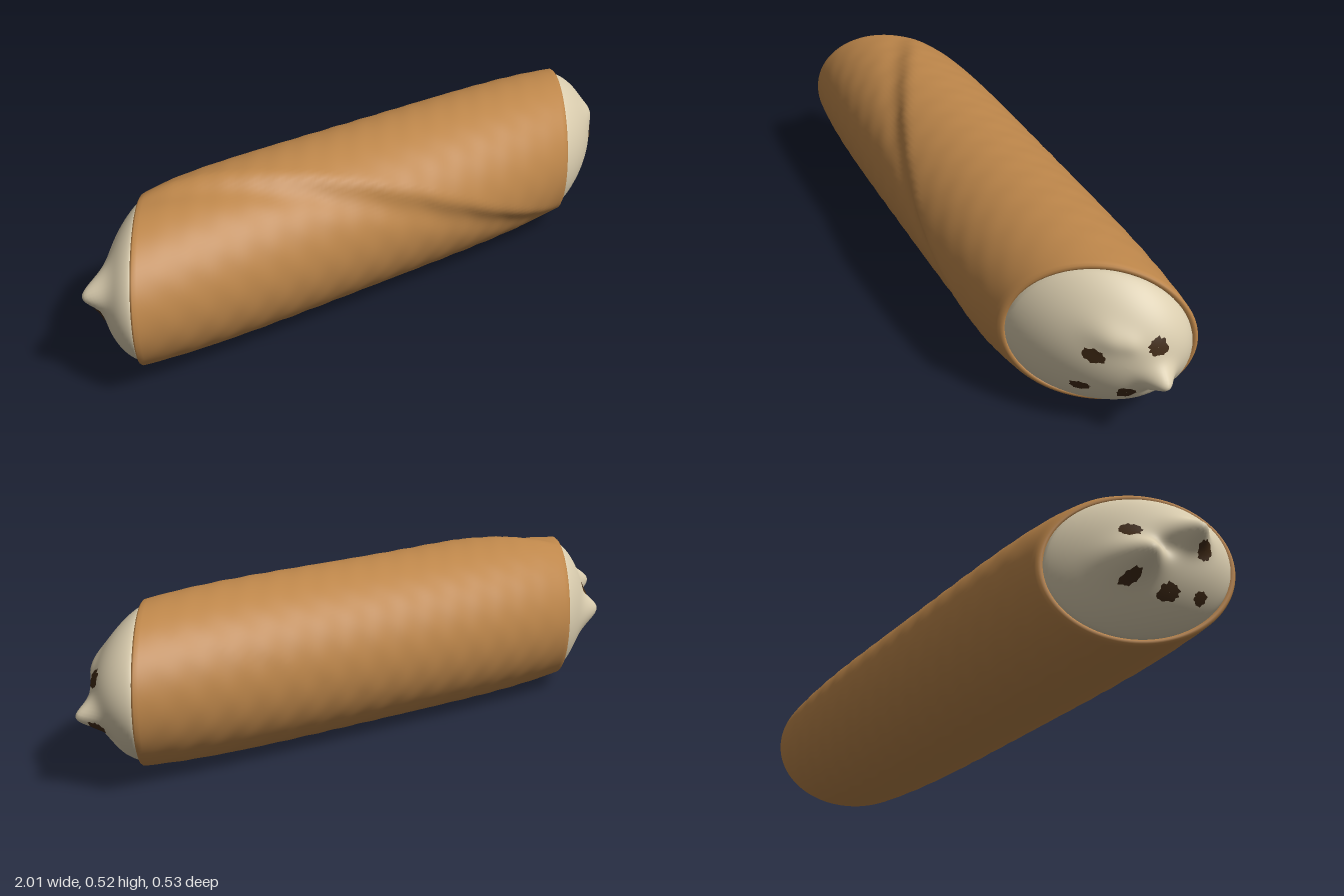
import * as THREE from 'three';

const CENTER_Y = 0.257;

// Smooth surface from closed loops ordered from -x to +x; point(i, angle) returns [x, y, z]
function loopSurface(rows, segs, point) {
  const pos = [], index = [];
  for (let i = 0; i < rows; i++) {
    for (let j = 0; j < segs; j++) {
      pos.push(...point(i, (j / segs) * Math.PI * 2, j));
      if (i === rows - 1) continue;
      const k = (j + 1) % segs;
      const a = i * segs + j, b = i * segs + k, c = a + segs, d = b + segs;
      index.push(a, b, c, b, d, c);
    }
  }
  const geo = new THREE.BufferGeometry();
  geo.setAttribute('position', new THREE.Float32BufferAttribute(pos, 3));
  geo.setIndex(index);
  geo.computeVertexNormals();
  return geo;
}

// Slanted cut of the tube ends (side is +1 or -1)
const endX = (side, z) => (side > 0 ? 0.765 : -0.8) - 0.61 * z;

// Rolled wrapper: gentle barrel with a spiral overlapping flap
function shellRadius(t, angle) {
  const s = 2 * t - 1;
  const x = -0.8 + 1.565 * t - 0.15 * Math.sin(angle);
  const edge = 1.0 + 1.8 * x;
  const d = Math.atan2(Math.sin(angle - edge), Math.cos(angle - edge));
  const flap = d < 0 ? 0.019 * Math.exp(d / 0.8) : 0.019 * Math.exp(-((d / 0.15) ** 2));
  const groove = -0.004 * Math.exp(-(((d - 0.3) / 0.15) ** 2));
  const ripple = 0.001 * Math.sin(x * 62 + Math.sin(angle * 3)) * Math.sin(angle * 9 + x * 5);
  const fade = 1 - s ** 8;
  return 0.232 + 0.022 * (1 - s ** 4) + (flap + groove + ripple) * fade;
}

function shellGeometry() {
  // lip: [inset along x, radius], from inside to outside
  const lip = [[0.05, 0.2], [0.012, 0.212], [0.003, 0.216], [0, 0.222], [0.002, 0.228]];
  const body = 110, n = lip.length;
  const rows = body + 1 + 2 * n;
  return loopSurface(rows, 112, (i, angle) => {
    let r, inset = 0, t;
    if (i < n) { t = 0; [inset, r] = lip[i]; }
    else if (i >= rows - n) { t = 1; [inset, r] = lip[rows - 1 - i]; inset = -inset; }
    else {
      t = 0.005 + 0.99 * (i - n) / body;
      r = shellRadius(t, angle);
    }
    const z = r * Math.sin(angle);
    const x = THREE.MathUtils.lerp(endX(-1, z), endX(1, z), t) + inset;
    return [x, CENTER_Y + r * Math.cos(angle), z];
  });
}

// Cream ends: dome height, piped peaks [z, y, height, width] and chips [z, y, radius]
const ENDS = [
  {
    side: 1, name: 'left', dome: 0.155,
    peaks: [[-0.08, 0.22, 0.055, 0.038], [0.04, 0.34, 0.016, 0.04], [-0.01, 0.33, 0.008, 0.03], [-0.1, 0.15, -0.015, 0.04]],
    chips: [[0.07, 0.282, 0.024], [-0.078, 0.32, 0.027], [0.085, 0.157, 0.02], [-0.015, 0.157, 0.026], [-0.118, 0.193, 0.019]],
  },
  {
    side: -1, name: 'right', dome: 0.118,
    peaks: [[0.06, 0.31, 0.062, 0.045], [-0.07, 0.235, 0.07, 0.05], [0.0, 0.27, -0.015, 0.03]],
    chips: [[-0.07, 0.32, 0.024], [0.09, 0.255, 0.026], [-0.08, 0.175, 0.02], [0.015, 0.14, 0.026], [0.1, 0.135, 0.019]],
  },
];
const CREAM_R = 0.216;

function creamX(end, y, z, lift = 0) {
  const q = Math.max(0, 1 - (z * z + (y - CENTER_Y) ** 2) / CREAM_R ** 2);
  let h = end.dome * q ** 0.8 + lift;
  for (const [pz, py, ph, w] of end.peaks) {
    h += ph * Math.exp(-((z - pz) ** 2 + (y - py) ** 2) / (w * w)) * Math.min(1, q * 2);
  }
  return endX(end.side, z) + end.side * h;
}

function creamGeometry(end) {
  const rows = 34;
  return loopSurface(rows, 72, (i, angle) => {
    const k = end.side > 0 ? i : rows - 1 - i;            // k = 0 is the hidden skirt
    const rho = k === 0 ? 1 : Math.max(0.002, 1 - ((k - 1) / (rows - 2)) ** 1.2);
    const y = CENTER_Y + CREAM_R * rho * Math.cos(angle);
    const z = CREAM_R * rho * Math.sin(angle);
    return [creamX(end, y, z, k === 0 ? -0.03 : 0), y, z];
  });
}

// Ragged thin chip lying on the cream
function chipGeometry(end, [cz, cy, r], seed) {
  const rows = 6;
  return loopSurface(rows, 26, (i, angle, j) => {
    const k = end.side > 0 ? i : rows - 1 - i;
    const noise = Math.abs(Math.sin((j + 1) * 12.9898 + seed * 78.233) * 43758.5453) % 1;
    const rho = r * Math.max(0.01, 1 - k / (rows - 1)) * (0.78 + 0.34 * noise);
    const y = cy + rho * Math.cos(angle), z = cz + rho * Math.sin(angle);
    return [creamX(end, y, z, 0.004), y, z];
  });
}

export function createModel() {
  const pastry = new THREE.MeshStandardMaterial({ color: 0xbd864a });
  const cream = new THREE.MeshStandardMaterial({ color: 0xd9ccae });
  const chocolate = new THREE.MeshStandardMaterial({ color: 0x402a15 });
  pastry.name = 'golden pastry';
  cream.name = 'cream';
  chocolate.name = 'chocolate';

  const group = new THREE.Group();
  group.name = 'filledPastryRoll';
  const add = (geo, mat, name) => {
    const mesh = new THREE.Mesh(geo, mat);
    mesh.name = name;
    group.add(mesh);
  };

  add(shellGeometry(), pastry, 'pastryShell');
  for (const end of ENDS) {
    add(creamGeometry(end), cream, `${end.name}Cream`);
    end.chips.forEach((chip, n) =>
      add(chipGeometry(end, chip, n + 1 + end.side), chocolate, `${end.name}ChocolateChip${n + 1}`));
  }
  return group;
}
